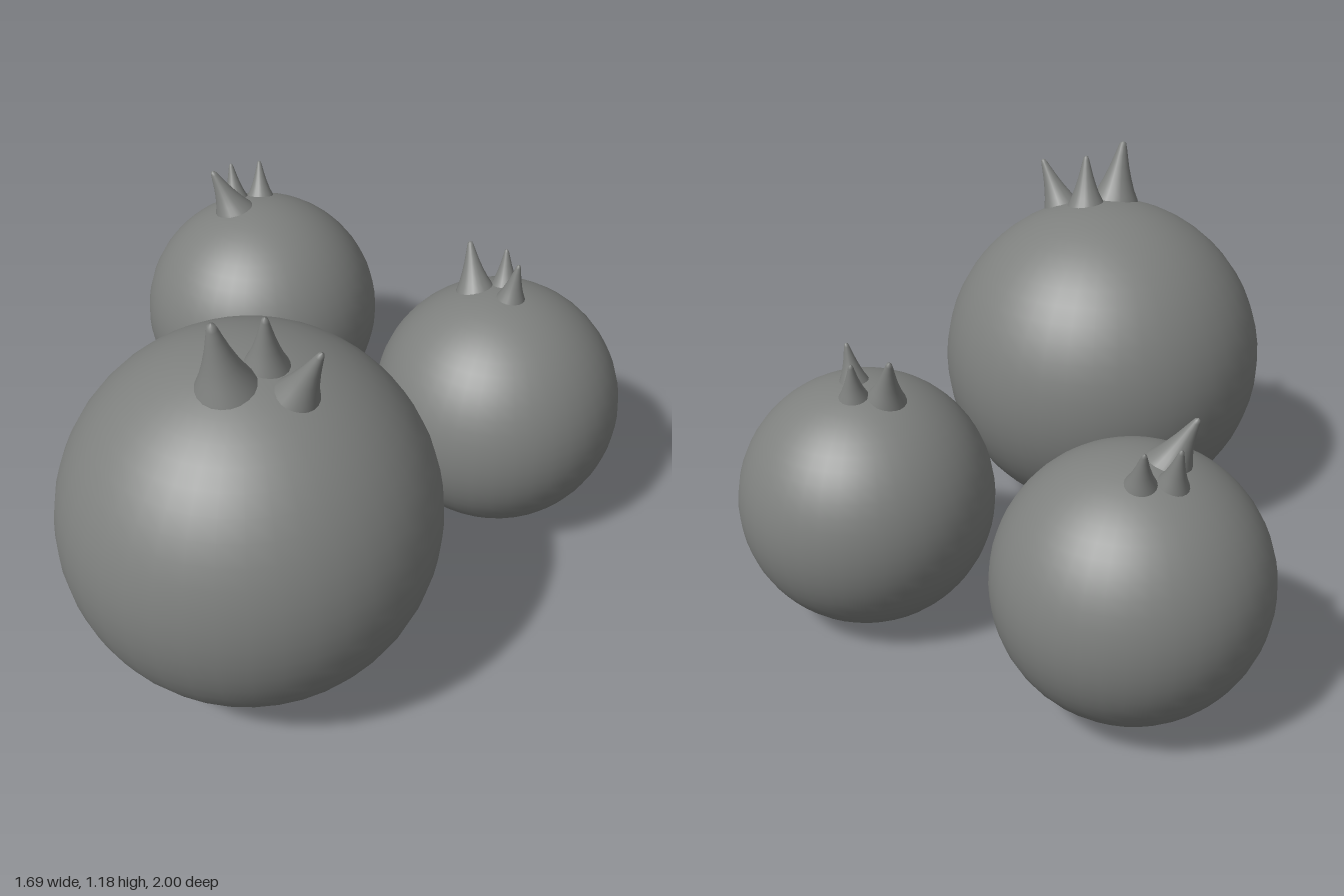
import * as THREE from 'three';

const material = new THREE.MeshStandardMaterial({ color: 0x7e807e });

// Flared, slightly hollow-sided spike of unit size: [radius, height], foot sunk into the berry
const PROFILE = [[1.12, -0.12], [1, 0], [0.8, 0.15], [0.6, 0.35], [0.43, 0.55],
  [0.29, 0.75], [0.19, 0.9], [0.13, 0.97], [0, 1]].map(([x, y]) => new THREE.Vector2(x, y));

// Each berry: centre, radius and crown spikes given as base [x, z], base radius and tip
const BERRIES = [
  { name: 'largeBerry', centre: [-0.345, 0.51, 0.5], radius: 0.502, spikes: [
    { base: [-0.403, 0.603], r: 0.073, tip: [-0.43, 1.177, 0.615] },
    { base: [-0.295, 0.553], r: 0.055, tip: [-0.3, 1.15, 0.575] },
    { base: [-0.238, 0.648], r: 0.055, tip: [-0.188, 1.113, 0.69] },
  ] },
  { name: 'sideBerry', centre: [0.48, 0.367, -0.015], radius: 0.367, spikes: [
    { base: [0.42, -0.107], r: 0.053, tip: [0.415, 0.842, -0.157] },
    { base: [0.51, -0.092], r: 0.04, tip: [0.515, 0.827, -0.115] },
    { base: [0.5, -0.005], r: 0.04, tip: [0.515, 0.842, 0] },
  ] },
  { name: 'backBerry', centre: [-0.135, 0.388, -0.63], radius: 0.371, spikes: [
    { base: [-0.213, -0.66], r: 0.057, tip: [-0.27, 0.87, -0.687] },
    { base: [-0.195, -0.75], r: 0.04, tip: [-0.2, 0.84, -0.783] },
    { base: [-0.113, -0.745], r: 0.04, tip: [-0.108, 0.84, -0.783] },
  ] },
];

// Spike whose foot lies flat on the berry's surface and which leans to its tip
function makeSpike({ base, r, tip }, centre, radius) {
  const dx = base[0] - centre.x, dz = base[1] - centre.z;
  const normal = new THREE.Vector3(dx, Math.sqrt(radius ** 2 - dx ** 2 - dz ** 2), dz);
  const foot = normal.clone().add(centre);
  const lean = new THREE.Vector3(...tip).sub(foot);
  const turn = new THREE.Quaternion().setFromUnitVectors(new THREE.Vector3(0, 1, 0), normal.normalize());
  const across = new THREE.Vector3(r, 0, 0).applyQuaternion(turn);
  const along = new THREE.Vector3(0, 0, r).applyQuaternion(turn);
  const geometry = new THREE.LatheGeometry(PROFILE, 20);
  geometry.applyMatrix4(new THREE.Matrix4().makeBasis(across, lean, along));
  const spike = new THREE.Mesh(geometry, material);
  spike.position.copy(foot);
  spike.name = 'crownSpike';
  return spike;
}

export function createModel() {
  const model = new THREE.Group();
  model.name = 'berries';
  for (const { name, centre, radius, spikes } of BERRIES) {
    const berry = new THREE.Group();
    berry.name = name;
    const middle = new THREE.Vector3(...centre);

    // Round body
    const body = new THREE.Mesh(new THREE.SphereGeometry(radius, 40, 28), material);
    body.position.copy(middle);
    body.name = 'body';
    berry.add(body);

    // Crown of three spikes
    for (const spike of spikes) berry.add(makeSpike(spike, middle, radius));
    model.add(berry);
  }
  return model;
}
